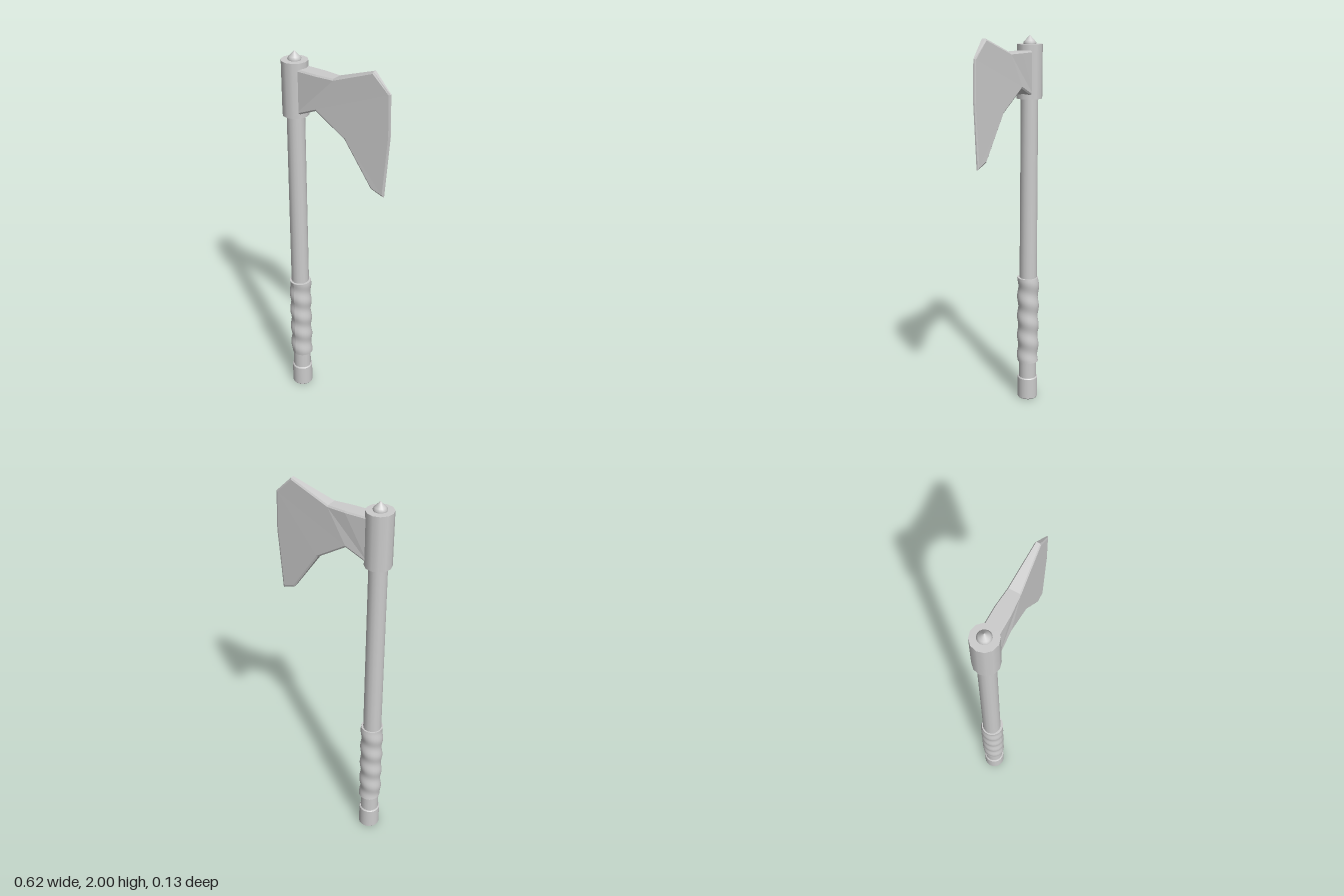
import * as THREE from 'three';

const AXIS = -0.245; // x of the handle's centre line

export function createModel() {
  const group = new THREE.Group();
  const steel = new THREE.MeshStandardMaterial({ color: 0xcccccc });
  steel.name = 'light grey';

  const add = (name, geometry, x = 0, y = 0) => {
    const mesh = new THREE.Mesh(geometry, steel);
    mesh.name = name;
    mesh.position.set(x, y, 0);
    group.add(mesh);
    return mesh;
  };
  const post = (name, rTop, rBottom, y0, y1, sides) =>
    add(name, new THREE.CylinderGeometry(rTop, rBottom, y1 - y0, sides), AXIS, (y0 + y1) / 2);

  // Handle, pommel and head socket
  post('shaft', 0.045, 0.049, 0.05, 1.75, 16);
  post('pommel', 0.056, 0.056, 0.005, 0.12, 20);
  post('pommelTopBevel', 0.052, 0.056, 0.12, 0.125, 20);
  post('pommelBottomBevel', 0.056, 0.052, 0, 0.005, 20);
  post('socket', 0.066, 0.066, 1.68, 1.955, 12);

  // Pointed finial on the socket
  const tip = [[0.03, 1.95], [0.034, 1.962], [0.026, 1.972], [0.012, 1.987], [0, 2]];
  add('finial', new THREE.LatheGeometry(tip.map(p => new THREE.Vector2(...p)), 16), AXIS);

  // Grip wrap: a cylinder whose radius follows a helix
  const y0 = 0.22, y1 = 0.71, pitch = 0.115;
  const grip = new THREE.CylinderGeometry(0.057, 0.057, y1 - y0, 24, 48);
  const p = grip.attributes.position;
  for (let i = 0; i < p.count; i++) {
    const x = p.getX(i), z = p.getZ(i);
    if (Math.hypot(x, z) < 0.01) continue;
    const a = Math.atan2(x, z);
    const r = 0.057 + 0.0035 * Math.sin((p.getY(i) / pitch) * Math.PI * 2 + a);
    p.setX(i, r * Math.sin(a));
    p.setZ(i, r * Math.cos(a));
  }
  grip.computeVertexNormals();
  add('gripWrap', grip, AXIS, (y0 + y1) / 2);

  add('blade', bladeGeometry());
  return group;
}

// Tapered axe blade with a narrow chamfer around its outline
function bladeGeometry() {
  const outline = [
    [-0.22, 1.69], [-0.093, 1.745], [0.066, 1.64], [0.214, 1.42], [0.283, 1.393],
    [0.308, 1.71], [0.303, 1.912], [0.214, 2.0], [0.005, 1.925], [-0.09, 1.925], [-0.22, 1.925],
  ].map(q => new THREE.Vector2(...q));
  const n = outline.length;
  const halfThickness = x => x < -0.09 ? 0.04 : 0.04 - 0.034 * (x + 0.09) / 0.4;

  // Mitred inset of the outline
  const inset = outline.map((c, i) => {
    const normal = (a, b) => new THREE.Vector2(a.y - b.y, b.x - a.x).normalize();
    const n1 = normal(outline[(i + n - 1) % n], c), n2 = normal(c, outline[(i + 1) % n]);
    const m = n1.clone().add(n2);
    return c.clone().addScaledVector(m, 0.008 / (1 + n1.dot(n2)));
  });

  // Four rings: front face, front edge, back edge, back face
  const ring = (pts, sign, cut) => pts.map((q, i) =>
    [q.x, q.y, sign * Math.max(0.003, halfThickness(outline[i].x) - cut)]);
  const rings = [ring(inset, 1, 0), ring(outline, 1, 0.005),
    ring(outline, -1, 0.005), ring(inset, -1, 0)];
  const v = [];
  const tri = (a, b, c) => v.push(...a, ...b, ...c);
  for (let k = 0; k < 3; k++) {
    for (let i = 0; i < n; i++) {
      const j = (i + 1) % n, A = rings[k], B = rings[k + 1];
      tri(A[i], B[i], B[j]);
      tri(A[i], B[j], A[j]);
    }
  }
  for (const [a, b, c] of THREE.ShapeUtils.triangulateShape(inset, [])) {
    tri(rings[0][a], rings[0][b], rings[0][c]);
    tri(rings[3][a], rings[3][c], rings[3][b]);
  }
  const g = new THREE.BufferGeometry();
  g.setAttribute('position', new THREE.Float32BufferAttribute(v, 3));
  g.computeVertexNormals(); // unshared corners give flat facets
  return g;
}
